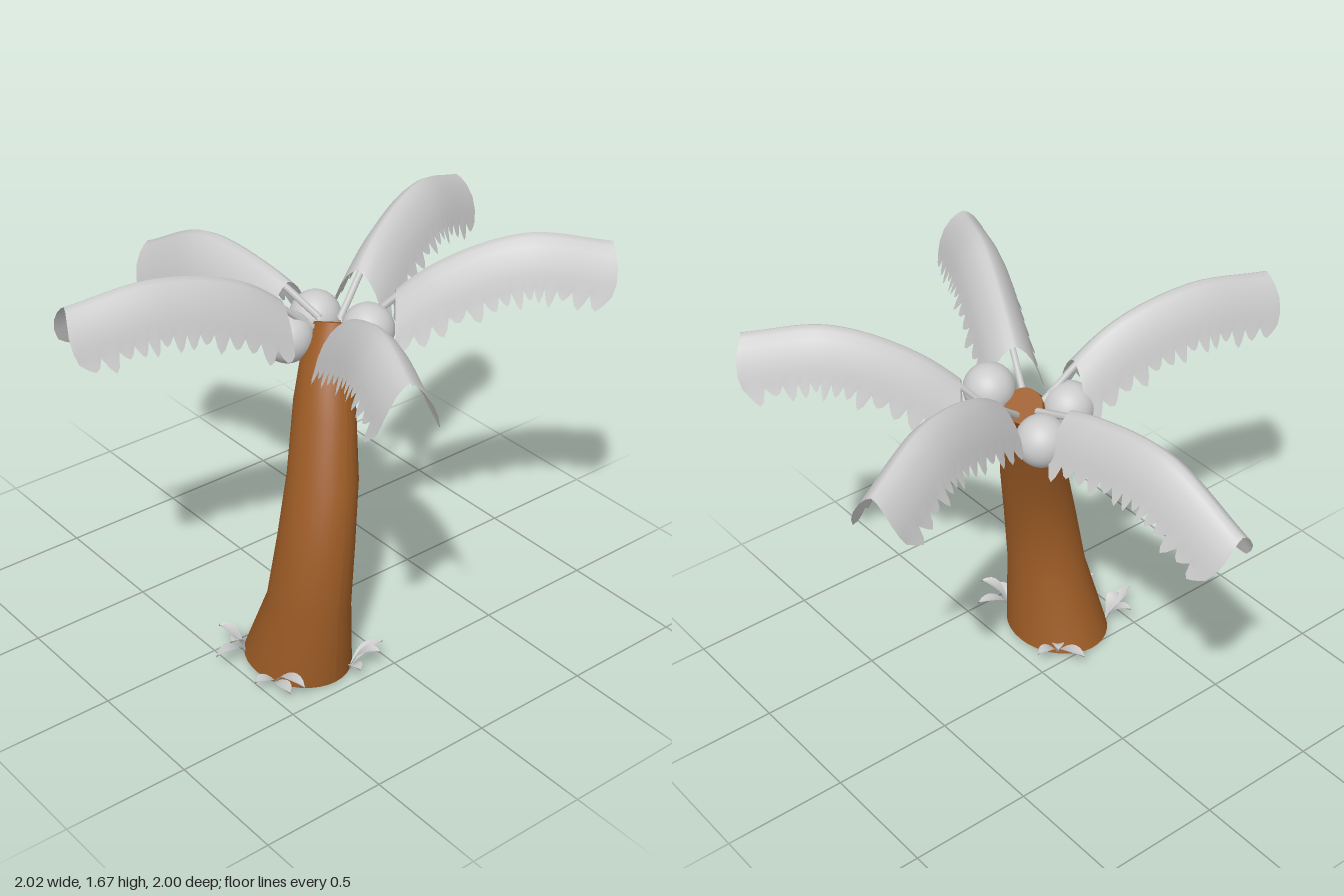
import * as THREE from 'three';

const grey = new THREE.MeshStandardMaterial({ color: 0xcccccc });
const leafGrey = new THREE.MeshStandardMaterial({ color: 0xcccccc, side: THREE.DoubleSide });
const bark = new THREE.MeshStandardMaterial({ color: 0x9a5a25 });

// Surface from equal-length rows of Vector3
function gridGeometry(rows) {
  const n = rows[0].length, pos = [], idx = [];
  rows.forEach((row, i) => row.forEach((p, j) => {
    pos.push(p.x, p.y, p.z);
    if (i && j) {
      const a = (i - 1) * n + j - 1, b = a + 1, c = a + n, d = c + 1;
      idx.push(a, c, b, b, c, d);
    }
  }));
  const g = new THREE.BufferGeometry();
  g.setAttribute('position', new THREE.Float32BufferAttribute(pos, 3));
  g.setIndex(idx);
  g.computeVertexNormals();
  return g;
}

function add(parent, name, geometry, material) {
  const mesh = new THREE.Mesh(geometry, material);
  mesh.name = name;
  parent.add(mesh);
  return mesh;
}

// Leaning trunk: oval rings given as y, centre x, centre z, radius x, radius z, tilt
function makeTrunk() {
  const rings = [
    [0, 0.218, 0.256, 0.233, 0.197, 0],
    [0.3, 0.285, 0.253, 0.175, 0.152, 0],
    [0.56, 0.29, 0.222, 0.16, 0.138, 0],
    [0.8, 0.255, 0.163, 0.146, 0.127, 0],
    [1.05, 0.172, 0.088, 0.13, 0.108, 0],
    [1.2, 0.122, 0.033, 0.108, 0.098, 0.15],
    [1.3, 0.06, -0.04, 0.07, 0.07, 0.35],
  ];
  const trunk = new THREE.Group();
  trunk.name = 'trunk';
  const sides = 36;
  const ring = ([y, cx, cz, rx, rz, tilt]) => Array.from({ length: sides + 1 }, (_, i) => {
    const a = (i / sides) * Math.PI * 2;
    const dx = rx * Math.cos(a), dz = rz * Math.sin(a);
    return new THREE.Vector3(cx + dx, y + tilt * (dx + dz), cz + dz);
  });
  const centre = ([y, cx, cz]) => ring([y, cx, cz, 0, 0, 0]);
  const first = rings[0], last = rings[rings.length - 1];
  add(trunk, 'trunkBody', gridGeometry(rings.map(ring)), bark);
  add(trunk, 'trunkBase', gridGeometry([centre(first), ring(first)]), bark);
  add(trunk, 'trunkTop', gridGeometry([ring(last), centre(last)]), bark);
  return trunk;
}

// Arched palm leaf with a toothed hem on both sides and a thin stem
function makeFrond(from, to, heights, seed) {
  const frond = new THREE.Group();
  frond.name = 'palmLeaf';
  const stops = [0, 0.3, 0.65, 1];
  const spine = new THREE.CatmullRomCurve3(stops.map((t, i) => new THREE.Vector3(
    THREE.MathUtils.lerp(from[0], to[0], t), heights[i], THREE.MathUtils.lerp(from[1], to[1], t))));
  const profile = [[0, 0], [0.022, -0.011], [0.048, -0.036], [0.076, -0.08], [0.096, -0.13], [0.106, -0.17]];
  const tooth = [0, 0.75, 1, 0.65];
  const teeth = 14, columns = teeth * tooth.length;
  const up = new THREE.Vector3(0, 1, 0);

  const rows = [];
  for (let i = 0; i <= columns; i++) {
    const u = i / columns, t = 0.17 + 0.83 * u;
    const p = spine.getPointAt(t), along = spine.getTangentAt(t);
    const side = new THREE.Vector3().crossVectors(along, up).normalize();
    // The sides hang straight down at the base and square to the spine further out
    const normal = new THREE.Vector3().crossVectors(side, along)
      .lerp(up, Math.max(0, 1 - u * 2.5)).normalize();
    const bulge = 0.025 * Math.max(0, u * 10 - 9);
    const place = (x, y) => p.clone().addScaledVector(side, x).addScaledVector(normal, y)
      .addScaledVector(along, bulge * Math.sin(-y * 15));
    const half = (sign) => {
      const pts = profile.map(([x, y]) => place(sign * x, y));
      const k = Math.floor(i / tooth.length);
      const size = 0.048 + 0.016 * Math.sin(k * 2.3 + seed + sign);
      const bite = tooth[i % tooth.length] * size;
      pts.push(place(sign * (0.108 + bite * 0.4), -0.178 - bite));
      return pts;
    };
    rows.push([...half(-1).reverse(), ...half(1).slice(1)]);
  }
  add(frond, 'leafBlade', gridGeometry(rows), leafGrey);

  // Stem runs just under the start of the blade
  const stemPath = new THREE.CatmullRomCurve3([0, 0.08, 0.16, 0.25].map((t) => {
    const p = spine.getPointAt(t);
    p.y -= 0.03;
    return p;
  }));
  add(frond, 'leafStem', new THREE.TubeGeometry(stemPath, 10, 0.014, 6), leafGrey);
  return frond;
}

// Small pointed grass blade that rises, then bends over
function makeGrassBlade([bx, bz], [dx, h, dz]) {
  const curve = new THREE.QuadraticBezierCurve3(
    new THREE.Vector3(bx, 0.005, bz),
    new THREE.Vector3(bx + dx * 0.35, h * 1.3, bz + dz * 0.35),
    new THREE.Vector3(bx + dx, h, bz + dz));
  const side = new THREE.Vector3(-dz, 0, dx).normalize();
  const rows = [];
  for (let i = 0; i <= 8; i++) {
    const t = i / 8, w = i === 8 ? 0 : 0.004 + 0.022 * Math.sin(Math.PI * Math.pow(t, 1.3));
    const p = curve.getPoint(t);
    rows.push([-1, 0, 1].map((s) => {
      const q = p.clone().addScaledVector(side, s * w);
      q.y += s === 0 ? -0.008 : 0;
      return q;
    }));
  }
  return gridGeometry(rows);
}

export function createModel() {
  const palm = new THREE.Group();
  palm.name = 'palmTree';
  palm.add(makeTrunk());

  // Leaves: base x/z, tip x/z, heights along the spine
  const fronds = [
    [[0.045, 0.03], [-0.16, 0.97], [1.32, 1.55, 1.635, 1.6]],
    [[0.13, 0.015], [0.965, 0.375], [1.32, 1.5, 1.615, 1.59]],
    [[0.11, -0.13], [0.685, -0.84], [1.31, 1.54, 1.66, 1.63]],
    [[0.04, -0.09], [-0.3, -0.97], [1.32, 1.53, 1.61, 1.52]],
    [[0, -0.025], [-1, 0.065], [1.33, 1.42, 1.435, 1.27]],
  ];
  fronds.forEach(([from, to, heights], i) => palm.add(makeFrond(from, to, heights, i * 1.7)));

  // Coconuts under the crown
  for (const [x, y, z] of [[-0.01, 1.265, 0.12], [-0.1, 1.25, -0.085], [0.21, 1.32, -0.085]]) {
    add(palm, 'coconut', new THREE.SphereGeometry(0.1, 32, 20), grey).position.set(x, y, z);
  }

  // Grass tufts round the foot: root, then blade directions
  const tufts = [
    [[0.085, 0.415], [[0.035, 0.08, 0.16], [-0.1, 0.1, 0.05], [0.02, 0.1, 0.08]]],
    [[0.31, 0.435], [[0.18, 0.09, 0.0], [0.13, 0.045, 0.03], [0.0, 0.05, 0.1]]],
    [[0.055, 0.125], [[-0.15, 0.07, 0.02], [-0.08, 0.1, -0.06], [-0.02, 0.07, -0.12]]],
    [[0.42, 0.16], [[0.1, 0.11, -0.07], [0.09, 0.06, 0.02], [0.02, 0.08, -0.15]]],
  ];
  for (const [root, blades] of tufts) {
    const tuft = new THREE.Group();
    tuft.name = 'grassTuft';
    blades.forEach((b) => add(tuft, 'grassBlade', makeGrassBlade(root, b), leafGrey));
    palm.add(tuft);
  }
  return palm;
}
